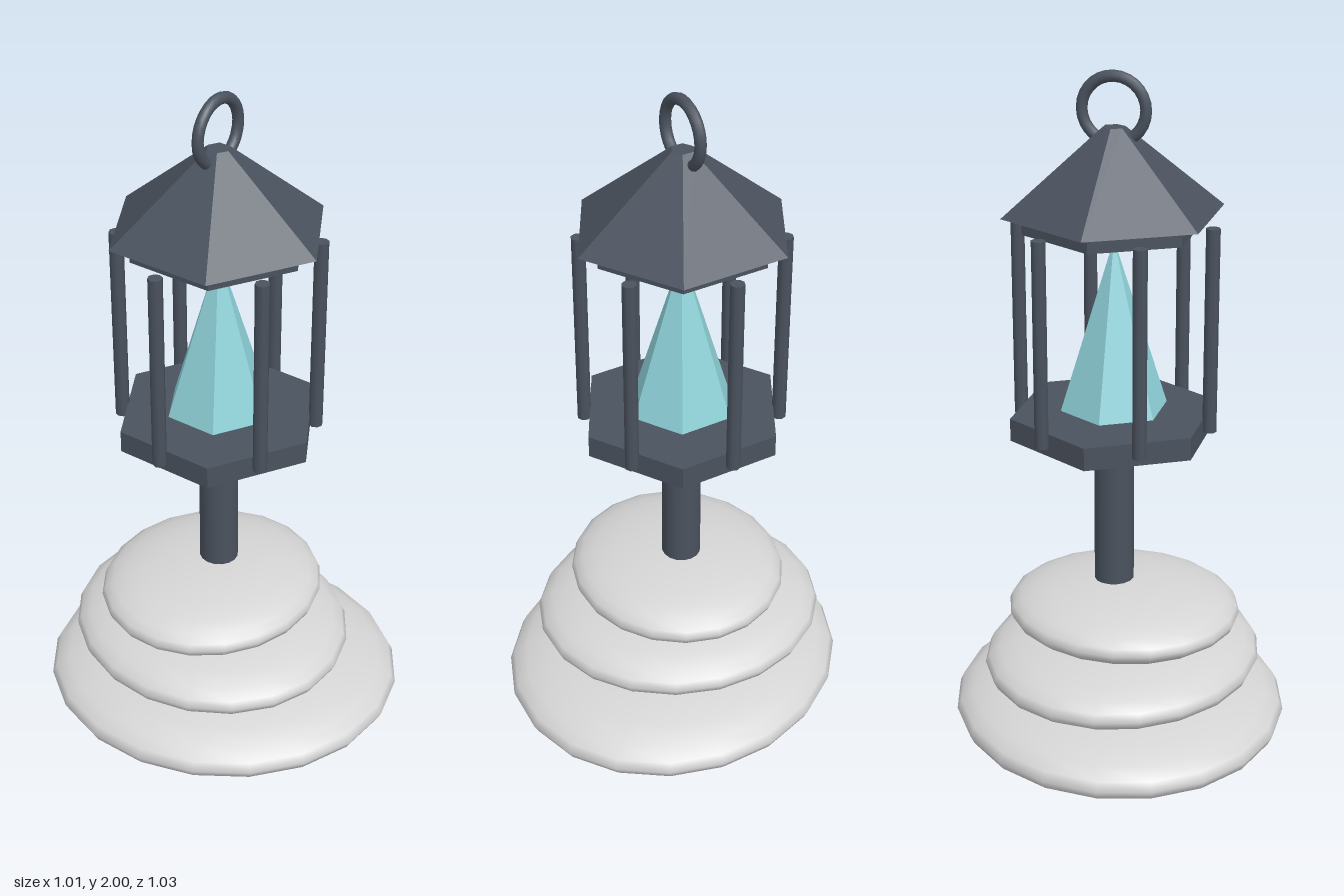
import * as THREE from 'three';

export function createModel() {
  const root = new THREE.Group();
  root.name = 'stoneLantern';

  const metal = new THREE.MeshStandardMaterial({ color: 0x4a525e });
  metal.name = 'slate metal';
  const stone = new THREE.MeshStandardMaterial({ color: 0xd4d4d4 });
  stone.name = 'pale stone';
  const crystal = new THREE.MeshStandardMaterial({ color: 0x8fd3da });
  crystal.name = 'aqua crystal';

  const add = (parent, name, geometry, material, x = 0, y = 0, z = 0) => {
    const mesh = new THREE.Mesh(geometry, material);
    mesh.name = name;
    mesh.position.set(x, y, z);
    parent.add(mesh);
    return mesh;
  };

  // Stacked flat stones: centre, half sizes and turn
  const stones = [
    ['bottomStone', [0, 0.12, 0], [0.533, 0.118, 0.487], -0.87],
    ['middleStone', [-0.027, 0.295, -0.025], [0.394, 0.1, 0.43], 0.05],
    ['topStone', [-0.028, 0.442, -0.021], [0.34, 0.088, 0.315], 0.1],
  ];
  for (const [name, centre, size, turn] of stones) {
    const mesh = add(root, name, new THREE.SphereGeometry(1, 20, 14), stone, ...centre);
    mesh.scale.set(...size);
    mesh.rotation.y = turn;
  }

  // The lantern is turned a little on its base
  const lantern = new THREE.Group();
  lantern.name = 'lantern';
  lantern.position.set(0.002, 0, -0.025);
  lantern.rotation.y = Math.PI / 12;
  root.add(lantern);

  // Six-sided part with flat faces, from y0 to y1
  const hex = (name, rTop, rBottom, y0, y1, material) => {
    const geometry = new THREE.CylinderGeometry(rTop, rBottom, y1 - y0, 6).toNonIndexed();
    geometry.computeVertexNormals();
    return add(lantern, name, geometry, material, 0, (y0 + y1) / 2, 0);
  };

  add(lantern, 'post', new THREE.CylinderGeometry(0.057, 0.057, 0.52, 16), metal, 0, 0.75, 0);
  hex('floorPlate', 0.297, 0.297, 0.985, 1.05, metal);
  hex('roofRim', 0.253, 0.253, 1.573, 1.622, metal);
  hex('roof', 0.032, 0.31, 1.62, 1.85, metal);
  hex('crystal', 0.001, 0.153, 1.06, 1.54, crystal);

  // Bars at the middle of each side
  const barGeometry = new THREE.CylinderGeometry(0.02, 0.02, 0.58, 8);
  for (let i = 0; i < 6; i++) {
    const a = Math.PI / 6 + (i * Math.PI) / 3;
    add(lantern, 'bar', barGeometry, metal, 0.274 * Math.sin(a), 1.304, 0.274 * Math.cos(a));
  }

  // Hanging ring
  add(lantern, 'ring', new THREE.TorusGeometry(0.088, 0.016, 10, 28), metal, 0, 1.896, 0);

  return root;
}
